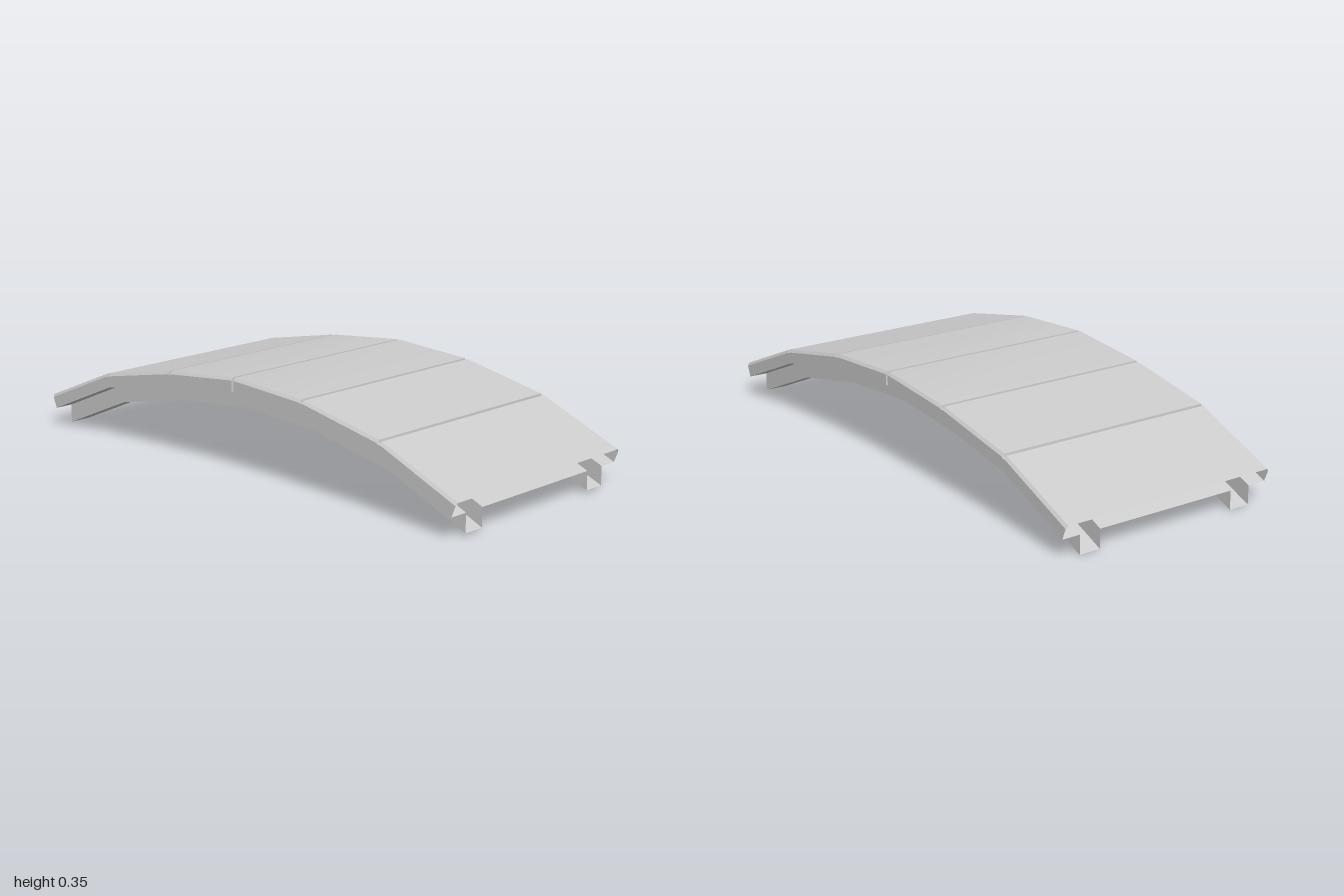
import * as THREE from 'three';
import { toCreasedNormals } from 'three/addons/utils/BufferGeometryUtils.js';

const material = new THREE.MeshStandardMaterial({ color: 0xcccccc, side: THREE.DoubleSide });

// Top line of the arch at each joint
const arch = [[-1, 0.12], [-0.675, 0.255], [-0.33, 0.322], [0, 0.355], [0.328, 0.335], [0.675, 0.265], [1, 0.13]];
const DECK = 0.05, BEAM = 0.118, GROOVE = 0.012;

function archHeight(x) {
  let k = 0;
  while (k < arch.length - 2 && x > arch[k + 1][0]) k++;
  const [a, b] = [arch[k], arch[k + 1]];
  return a[1] + (b[1] - a[1]) * (x - a[0]) / (b[0] - a[0]);
}

// Stations along the arch: four per joint to cut a narrow groove
const stations = [];
arch.forEach(([x], k) => {
  if (k === 0 || k === arch.length - 1) stations.push({ x, groove: false, seam: false });
  else for (const [d, groove] of [[-0.006, false], [-0.005, true], [0.005, true], [0.006, false]])
    stations.push({ x: x + d, groove, seam: groove && x === 0 });
});

// Sweep a profile of [z, depth below the arch line] along the stations
function sweep(name, profile) {
  const pos = [], index = [], n = profile.length;
  for (const s of stations) {
    for (const [z, depth] of profile) {
      const lean = 1 - 0.02 * Math.min(1, depth / DECK);
      const d = s.groove ? Math.max(depth, GROOVE) : depth;
      // the central seam also cuts into the deck sides
      const zz = s.seam && Math.abs(z) > 0.4 ? Math.sign(z) * 0.412 : z;
      pos.push(s.x * lean, archHeight(s.x) - d, zz);
    }
  }
  for (let i = 0; i < stations.length - 1; i++) {
    for (let j = 0; j < n - 1; j++) {
      const a = i * n + j, b = a + n;
      index.push(a, b, a + 1, b, b + 1, a + 1);
    }
  }
  const geo = new THREE.BufferGeometry();
  geo.setAttribute('position', new THREE.Float32BufferAttribute(pos, 3));
  geo.setIndex(index);
  const mesh = new THREE.Mesh(toCreasedNormals(geo, Math.PI / 6), material);
  mesh.name = name;
  return mesh;
}

export function createModel() {
  const group = new THREE.Group();
  group.name = 'archedBridge';

  // Deck shell: bevelled top and sides, open at the ends
  group.add(sweep('deck', [
    [0.355, DECK], [0.425, DECK], [0.425, 0.01], [0.417, 0],
    [-0.417, 0], [-0.425, 0.01], [-0.425, DECK], [-0.355, DECK],
  ]));
  // Underside between the beams
  group.add(sweep('deckUnderside', [[-0.275, DECK], [0.275, DECK]]));

  // Hollow beams, open into the deck
  for (const [side, inner, outer] of [['left', -0.355, -0.275], ['right', 0.275, 0.355]]) {
    group.add(sweep(side === 'left' ? 'backBeam' : 'frontBeam', [
      [inner, DECK], [inner, BEAM], [outer, BEAM], [outer, DECK],
    ]));
  }
  return group;
}
